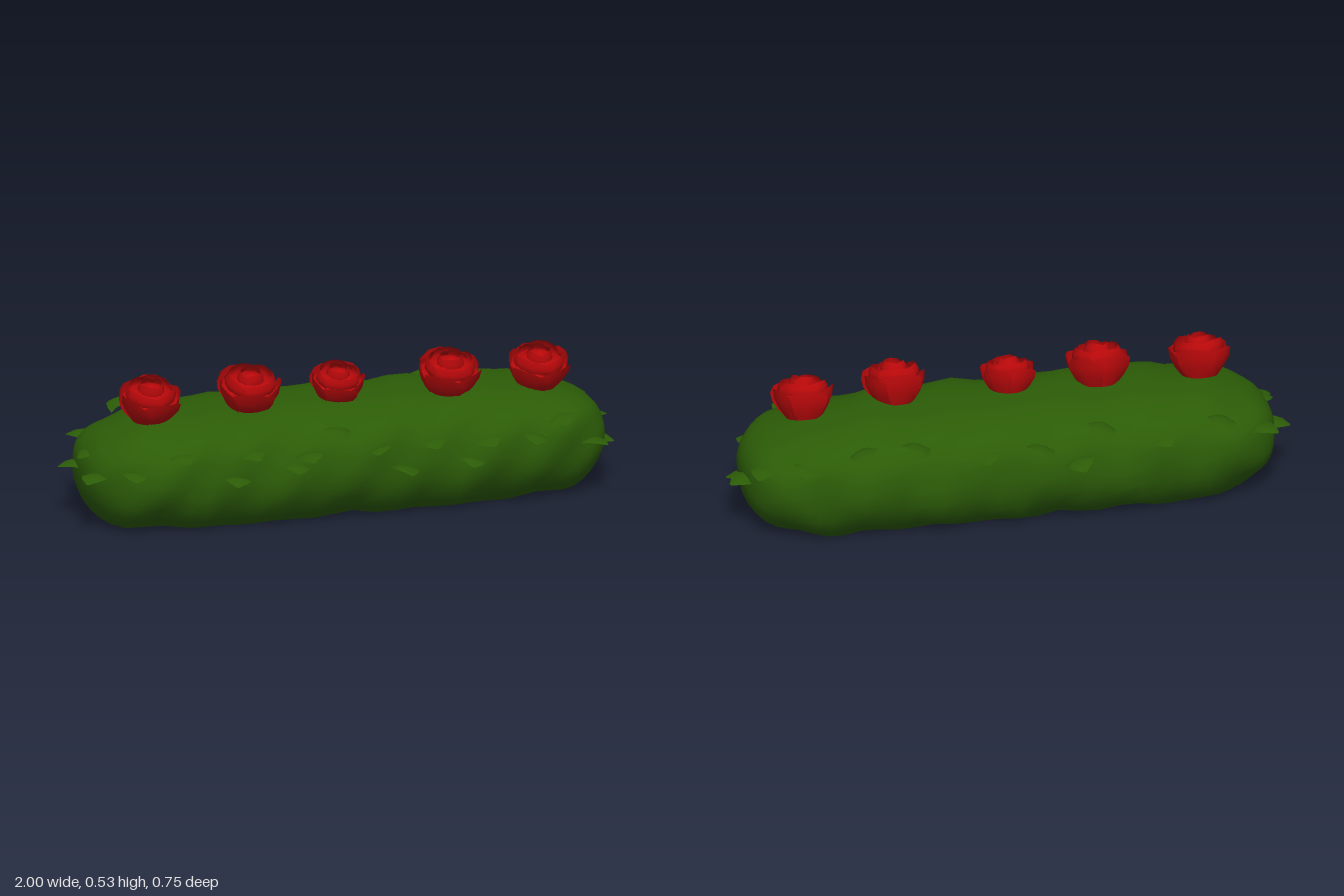
import * as THREE from 'three';
import { mergeVertices } from 'three/addons/utils/BufferGeometryUtils.js';

const leafGreen = new THREE.MeshStandardMaterial({ color: 0x2c5c07, side: THREE.DoubleSide });
leafGreen.name = 'leaf green';
const roseRed = new THREE.MeshStandardMaterial({ color: 0xb8080a, side: THREE.DoubleSide });
roseRed.name = 'rose red';

const spow = (v, p) => Math.sign(v) * Math.abs(v) ** p;

// Apply a rule to every vertex, then weld and smooth
function reshape(geometry, rule) {
  const pos = geometry.attributes.position;
  const v = new THREE.Vector3();
  for (let i = 0; i < pos.count; i++) {
    v.fromBufferAttribute(pos, i);
    rule(v);
    pos.setXYZ(i, v.x, v.y, v.z);
  }
  geometry.deleteAttribute('normal');
  geometry.deleteAttribute('uv');
  const welded = mergeVertices(geometry, 1e-4);
  welded.computeVertexNormals();
  return welded;
}

// Long lumpy hedge with rounded ends, sloping shoulders and a flat underside
function makeHedge() {
  const geometry = new THREE.SphereGeometry(1, 28, 40);
  geometry.rotateZ(-Math.PI / 2);
  const shaped = reshape(geometry, (v) => {
    const angle = Math.atan2(v.y, v.z);
    const t = 1 - 2 * Math.acos(THREE.MathUtils.clamp(v.x, -1, 1)) / Math.PI;
    const along = Math.sin(t * Math.PI / 2);
    const taper = (n) => Math.max(0, 1 - Math.abs(along) ** n) ** 0.4;
    const x = along * 0.945;
    const s = Math.sin(angle), c = Math.cos(angle);
    const lump = 0.97
      + 0.03 * Math.sin(x * 15 + c * 3) * Math.cos(s * 4 + x * 5)
      + 0.025 * Math.sin(x * 27 - s * 5 + c * 2);
    const power = s > 0 ? 0.8 : 1;
    const z = spow(c, power) * 0.305 * taper(7) * lump;
    const y = 0.19 + spow(s, power) * lump * (s > 0 ? 0.212 * taper(4.5) : 0.25 * taper(7));
    v.set(x, Math.max(0, y), z);
  });
  const mesh = new THREE.Mesh(shaped, leafGreen);
  mesh.name = 'hedge';
  return mesh;
}

// Pointed leaf along +z, folded on its midrib
const leafLength = 0.11;
function makeLeafGeometry() {
  const geometry = new THREE.PlaneGeometry(1, 1, 4, 4);
  geometry.rotateX(-Math.PI / 2);
  return reshape(geometry, (v) => {
    const t = v.z + 0.5;
    const side = v.x * 2;
    const width = 0.1 * Math.sin(Math.PI * (0.3 + 0.68 * t ** 1.2)) ** 0.8;
    v.set(v.x * width, 0.015 * Math.sin(t * Math.PI) - 0.018 * side * side * (1 - t), t * leafLength);
  });
}

// Tip positions: x, y, z
const leafTips = [
  // ends
  [-1, 0.19, -0.06], [-0.97, 0.2, 0.2], [-0.92, 0.25, -0.23], [-0.96, 0.25, 0.05],
  [1, 0.19, -0.09], [0.98, 0.14, 0.07], [0.9, 0.19, 0.26], [0.92, 0.25, -0.2],
  // front
  [-0.82, 0.22, 0.29], [-0.64, 0.28, 0.32], [-0.47, 0.19, 0.35], [-0.38, 0.27, 0.32],
  [-0.25, 0.22, 0.36], [-0.2, 0.26, 0.37], [-0.06, 0.32, 0.3], [0.05, 0.25, 0.32],
  [0.16, 0.18, 0.37], [0.26, 0.26, 0.34], [0.39, 0.18, 0.34], [0.47, 0.25, 0.34],
  [0.61, 0.25, 0.36], [0.74, 0.29, 0.3],
  // back
  [-0.7, 0.33, -0.33], [-0.52, 0.28, -0.31], [-0.27, 0.34, -0.31], [-0.2, 0.25, -0.38],
  [-0.07, 0.3, -0.35], [0.13, 0.28, -0.31], [0.35, 0.33, -0.3], [0.57, 0.33, -0.31], [0.77, 0.28, -0.28],
];

function makeLeaves() {
  const group = new THREE.Group();
  group.name = 'leaves';
  const geometry = makeLeafGeometry();
  leafTips.forEach(([x, y, z], i) => {
    const tip = new THREE.Vector3(x, y, z);
    const outward = new THREE.Vector3(
      x - THREE.MathUtils.clamp(x, -0.72, 0.72) + 0.1 * Math.sin(i * 2.4), -0.03, z,
    ).normalize();
    const leaf = new THREE.Mesh(geometry, leafGreen);
    leaf.name = 'leaf';
    leaf.position.copy(tip).addScaledVector(outward, -leafLength);
    leaf.lookAt(tip);
    leaf.rotateZ(0.3 * Math.sin(i * 3.1));
    group.add(leaf);
  });
  return group;
}

// One cupped petal: part of an open cone with a rounded rim
function makePetal(bottom, top, height, arc) {
  const geometry = new THREE.CylinderGeometry(top, bottom, height, 4, 3, true, -arc / 2, arc);
  geometry.translate(0, height / 2, 0);
  return reshape(geometry, (v) => {
    const t = v.y / height;
    const side = Math.atan2(v.x, v.z) / (arc / 2);
    const bulge = 1 + 0.14 * Math.sin(t * Math.PI) + 0.07 * side * t;
    v.set(v.x * bulge, v.y - 0.2 * height * t * Math.abs(side) ** 2.5, v.z * bulge);
  });
}

// Rings of petals: count, lower radius, rim radius, base height, height, arc
const petalRings = [
  [5, 0.062, 0.106, 0, 0.112, 1.5],
  [4, 0.078, 0.076, 0.075, 0.058, 1.8],
  [3, 0.046, 0.036, 0.095, 0.052, 2.3],
];

// Dome closing the flower between the petal rings
const heartProfile = [[0.1, 0.08], [0.075, 0.1], [0.035, 0.122], [0, 0.138]]
  .map(([r, y]) => new THREE.Vector2(r, y));

function makeRose() {
  const rose = new THREE.Group();
  petalRings.forEach(([count, bottom, top, base, height, arc], ring) => {
    const geometry = makePetal(bottom, top, height, arc);
    for (let i = 0; i < count; i++) {
      const petal = new THREE.Mesh(geometry, roseRed);
      petal.name = 'petal';
      petal.position.y = base;
      petal.rotation.y = (i / count) * Math.PI * 2 + ring * 0.7;
      petal.scale.y = 1 - 0.06 * (i % 2);
      rose.add(petal);
    }
  });
  // Reversed so the dome faces upwards
  const heart = new THREE.Mesh(new THREE.LatheGeometry([...heartProfile], 9), roseRed);
  heart.name = 'roseHeart';
  rose.add(heart);
  return rose;
}

// Rose placement: x, base y, base z, scale, turn
const roses = [
  [-0.7, 0.37, 0.035, 1, 0.2],
  [-0.34, 0.376, 0.035, 1.02, 1.1],
  [-0.02, 0.378, 0.035, 0.88, 2.3],
  [0.38, 0.374, 0.055, 1.02, 0.7],
  [0.71, 0.362, 0.035, 1, 1.8],
];

export function createModel() {
  const model = new THREE.Group();
  model.name = 'roseHedge';
  model.add(makeHedge(), makeLeaves());
  for (const [x, y, z, scale, turn] of roses) {
    const rose = makeRose();
    rose.name = 'rose';
    rose.position.set(x, y, z);
    rose.rotation.set(0.27, turn, 0);
    rose.scale.setScalar(scale);
    model.add(rose);
  }
  return model;
}
